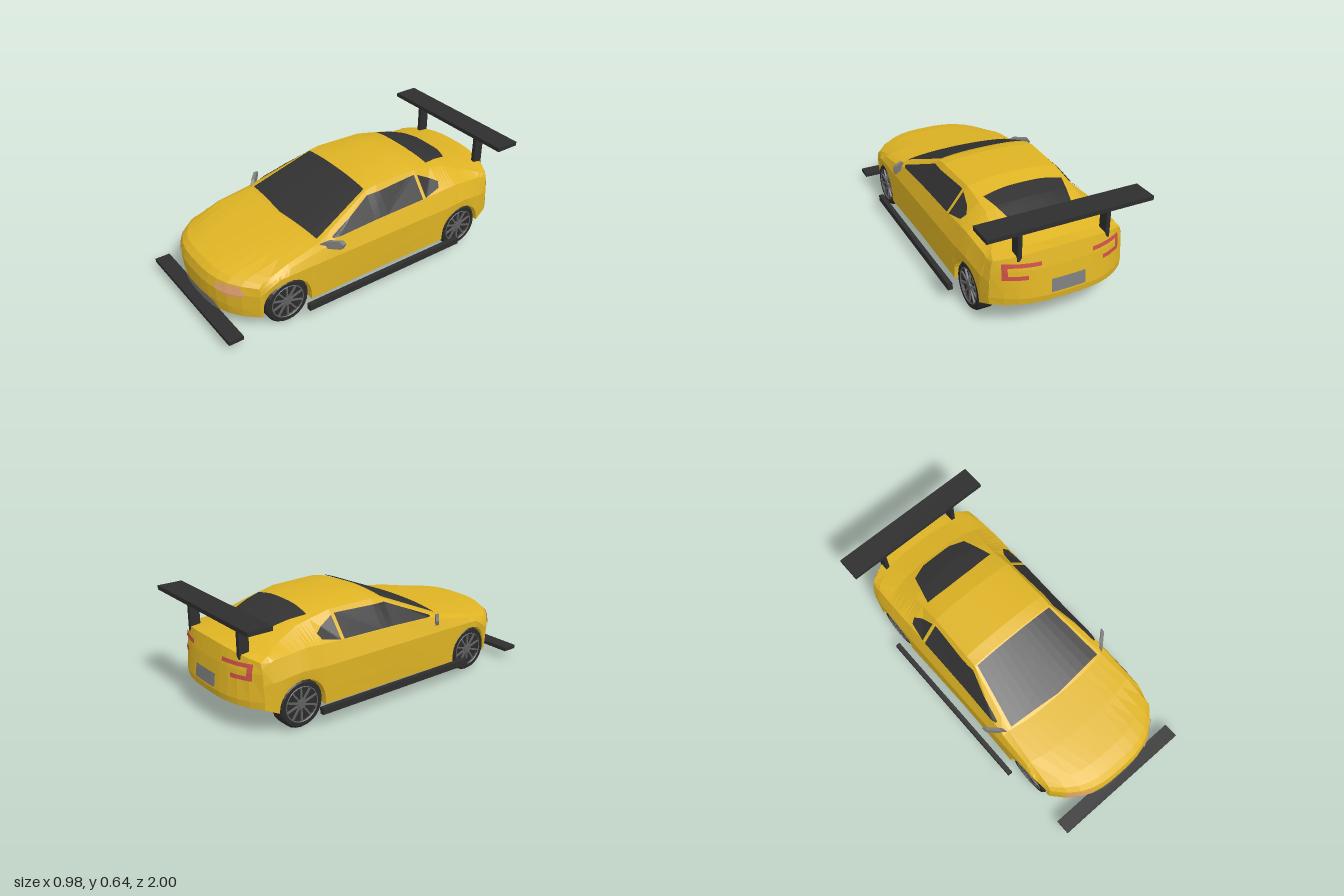
import * as THREE from 'three';

const mat = (name, color) => new THREE.MeshStandardMaterial({ name, color, flatShading: true, side: THREE.DoubleSide });

// Piecewise-linear lookup in rows of [key, ...values], keys descending
function lerpTable(table, key) {
  let i = 0;
  while (i < table.length - 2 && key < table[i + 1][0]) i++;
  const a = table[i], b = table[i + 1];
  const t = THREE.MathUtils.clamp((key - a[0]) / (b[0] - a[0]), 0, 1);
  return a.slice(1).map((v, k) => v + (b[k + 1] - v) * t);
}

// Surface through rows of points
function gridGeometry(rows, flip = false) {
  const n = rows[0].length, index = [];
  for (let i = 0; i < rows.length - 1; i++) {
    for (let j = 0; j < n - 1; j++) {
      const a = i * n + j, b = a + 1, c = a + n, d = c + 1;
      if (flip) index.push(a, c, b, b, c, d);
      else index.push(a, b, c, b, d, c);
    }
  }
  const g = new THREE.BufferGeometry();
  g.setAttribute('position', new THREE.Float32BufferAttribute(rows.flat(2), 3));
  g.setIndex(index);
  g.computeVertexNormals();
  return g;
}

// Centre skin, front to back: [centre y, centre z, half width, edge y, edge z]
const SKIN = [
  [0.09, 0.77, 0.385, 0.09, 0.77], [0.09, 0.935, 0.385, 0.09, 0.77],
  [0.16, 0.95, 0.392, 0.15, 0.77], [0.25, 0.955, 0.40, 0.24, 0.77],
  [0.31, 0.94, 0.395, 0.29, 0.77], [0.34, 0.905, 0.388, 0.31, 0.75],
  [0.358, 0.82, 0.385, 0.325, 0.70], [0.385, 0.62, 0.38, 0.365, 0.58],
  [0.412, 0.40, 0.36, 0.40, 0.37], [0.585, -0.01, 0.285, 0.565, -0.01],
  [0.60, -0.08, 0.285, 0.575, -0.08], [0.602, -0.37, 0.275, 0.572, -0.37],
  [0.555, -0.60, 0.27, 0.525, -0.58], [0.50, -0.74, 0.30, 0.47, -0.72],
  [0.467, -0.88, 0.36, 0.44, -0.82], [0.465, -0.95, 0.375, 0.42, -0.87],
  [0.37, -0.97, 0.39, 0.36, -0.87], [0.21, -0.99, 0.40, 0.21, -0.87],
  [0.175, -0.985, 0.395, 0.165, -0.87], [0.165, -0.87, 0.395, 0.165, -0.87],
];
// Side lines by z: [z, x, y]
const EDGE = SKIN.slice(4, 16).map(([, , w, y, z]) => [z, w, y]);
const BELT = [[0.77, 0.397, 0.27], [0.70, 0.40, 0.305], [0.58, 0.405, 0.35], [0.37, 0.40, 0.385],
  [0.28, 0.393, 0.412], [0, 0.388, 0.42], [-0.36, 0.388, 0.428], [-0.6, 0.39, 0.44],
  [-0.8, 0.385, 0.42], [-0.87, 0.385, 0.39]];
const SHOULDER = [[0.77, 0.40, 0.24], [0.65, 0.42, 0.315], [0.4, 0.425, 0.32], [-0.5, 0.425, 0.32],
  [-0.65, 0.425, 0.33], [-0.8, 0.415, 0.31], [-0.87, 0.395, 0.30]];
const SILL = [[0.77, 0.385, 0.09], [0.65, 0.42, 0.095], [0.5, 0.42, 0.095], [0, 0.412, 0.095],
  [-0.6, 0.42, 0.1], [-0.78, 0.415, 0.125], [-0.87, 0.395, 0.165]];
const AXLES = [0.605, -0.645], ARCH = 0.145, WHEEL_Y = 0.136;

// Half section of the side, wheel well and floor at one z
function sideSection(z, s) {
  const [ex, ey] = lerpTable(EDGE, z), [bx, by] = lerpTable(BELT, z);
  const [sx, sy] = lerpTable(SHOULDER, z), [lx, floor] = lerpTable(SILL, z);
  let low = floor;
  for (const c of AXLES) {
    const d = Math.abs(z - c);
    if (d <= ARCH + 1e-6) low = WHEEL_Y + Math.sqrt(Math.max(0, ARCH * ARCH - d * d));
  }
  return [[ex, ey], [bx, by], [sx, sy], [(sx + lx) / 2, low + 0.4 * (sy - low)], [lx, low],
    [0.29, low], [0.29, floor], [0, floor]].map(([x, y]) => [x * s, y, z]);
}

function buildBody(paint) {
  const body = new THREE.Group();
  body.name = 'body';
  const add = (name, geometry) => {
    const m = new THREE.Mesh(geometry, paint);
    m.name = name;
    body.add(m);
  };
  const cols = 12;
  add('noseBonnetRoofAndTail', gridGeometry(SKIN.map(([yc, zc, w, ye, ze]) =>
    Array.from({ length: cols + 1 }, (_, j) => {
      const u = (j / cols) * 2 - 1, a = Math.abs(u);
      return [u * w, yc + (ye - yc) * a ** 2.5, zc + (ze - zc) * a ** 3];
    }))));
  const zs = [...EDGE, ...BELT, ...SHOULDER, ...SILL].map((r) => r[0]);
  for (const c of AXLES) {
    zs.push(c + ARCH + 0.001, c - ARCH - 0.001);
    for (let k = 0; k <= 14; k++) zs.push(c + ARCH * Math.cos((k / 14) * Math.PI));
  }
  const stations = [...new Set(zs)].sort((a, b) => b - a);
  for (const s of [1, -1]) {
    add(s > 0 ? 'leftSide' : 'rightSide', gridGeometry(stations.map((z) => sideSection(z, s)), s < 0));
  }
  return body;
}

// Thin plate laid on the body between two outlines, seen along one axis
function makePlater(body) {
  body.updateMatrixWorld(true);
  const ray = new THREE.Raycaster();
  const place = {
    front: (a, b) => [[a, b, 3], [0, 0, -1]],
    back: (a, b) => [[a, b, -3], [0, 0, 1]],
    top: (a, b) => [[a, 3, b], [0, -1, 0]],
    left: (a, b) => [[3, b, a], [-1, 0, 0]],
    right: (a, b) => [[-3, b, a], [1, 0, 0]],
  };
  const along = (line, t) => {
    const k = Math.min(Math.floor(t * (line.length - 1)), line.length - 2);
    const f = t * (line.length - 1) - k;
    return [0, 1].map((c) => line[k][c] + (line[k + 1][c] - line[k][c]) * f);
  };
  return (name, material, view, upper, lower, nx = 12, ny = 6) => {
    const rows = [];
    let last = new THREE.Vector3();
    for (let i = 0; i <= ny; i++) {
      const row = [];
      for (let j = 0; j <= nx; j++) {
        const p = along(upper, j / nx), q = along(lower, j / nx), t = i / ny;
        const [o, d] = place[view](p[0] + (q[0] - p[0]) * t + 1e-5, p[1] + (q[1] - p[1]) * t + 1e-5);
        const dir = new THREE.Vector3(...d);
        ray.set(new THREE.Vector3(...o), dir);
        const hit = ray.intersectObject(body, true)[0];
        if (hit) last = hit.point.addScaledVector(dir, -0.007);
        row.push(last.toArray());
      }
      rows.push(row);
    }
    const flip = view === 'back' || view === 'left' ? 1 : 0;
    const mesh = new THREE.Mesh(gridGeometry(rows, !flip), material);
    mesh.name = name;
    return mesh;
  };
}

// Tyre, rim and spokes, outer face towards +x
function buildWheel(tyre, rim) {
  const wheel = new THREE.Group();
  wheel.name = 'wheel';
  const profile = [[0, -0.05], [0.125, -0.05], [0.136, -0.038], [0.136, 0.036], [0.125, 0.05],
    [0.104, 0.05], [0.098, 0.036], [0, 0.034]].map(([x, y]) => new THREE.Vector2(x, y));
  const add = (name, g, m) => {
    const mesh = new THREE.Mesh(g, m);
    mesh.name = name;
    wheel.add(mesh);
  };
  add('tyre', new THREE.LatheGeometry(profile, 24).rotateZ(-Math.PI / 2), tyre);
  add('rimEdge', new THREE.TorusGeometry(0.1, 0.004, 4, 24).rotateY(Math.PI / 2).translate(0.048, 0, 0), rim);
  add('hub', new THREE.CylinderGeometry(0.024, 0.026, 0.014, 10).rotateZ(-Math.PI / 2).translate(0.042, 0, 0), rim);
  for (let k = 0; k < 10; k++) {
    add('spoke', new THREE.BoxGeometry(0.01, 0.084, 0.009).translate(0.04, 0.058, 0).rotateX((k / 10) * Math.PI * 2), rim);
  }
  return wheel;
}

export function createModel() {
  const car = new THREE.Group();
  car.name = 'sportsCar';
  const paint = mat('yellowPaint', 0xdfb424), trim = mat('blackTrim', 0x2e2e2e);
  const glass = mat('darkGlass', 0x323232), tyre = mat('tyreRubber', 0x2a2a2a);
  const rim = mat('rimMetal', 0x606060), grey = mat('greyPlastic', 0x7c7c7c);
  const lamp = mat('headlightAmber', 0xdfa06c), red = mat('tailLightRed', 0xcc4f48);

  const body = buildBody(paint);
  car.add(body);
  const plate = makePlater(body);

  // Glass and front and rear details
  car.add(
    plate('windscreen', glass, 'top', [[-0.272, 0], [0, 0], [0.272, 0]], [[-0.335, 0.365], [0, 0.393], [0.335, 0.365]], 12, 8),
    plate('rearWindow', glass, 'top', [[-0.19, -0.68], [-0.1, -0.715], [0.1, -0.715], [0.19, -0.68]],
      [[-0.24, -0.49], [-0.1, -0.48], [0.1, -0.48], [0.24, -0.49]], 12, 8),
    plate('lowerGrille', grey, 'front', [[-0.175, 0.145], [-0.135, 0.16], [0.135, 0.16], [0.175, 0.145]],
      [[-0.2, 0.093], [-0.14, 0.093], [0.14, 0.093], [0.2, 0.093]]),
    plate('numberPlate', grey, 'back', [[-0.1, 0.3], [0.1, 0.3]], [[-0.1, 0.225], [0.1, 0.225]]),
  );
  for (const s of [1, -1]) {
    const view = s > 0 ? 'left' : 'right';
    const flip = (pts) => pts.map(([x, y]) => [x * s, y]);
    car.add(
      plate('doorWindow', glass, view, [[0.29, 0.422], [0, 0.545], [-0.35, 0.553]], [[0.29, 0.416], [0, 0.425], [-0.35, 0.432]], 16, 6),
      plate('quarterWindow', glass, view, [[-0.372, 0.547], [-0.5, 0.482]], [[-0.372, 0.433], [-0.485, 0.455]]),
      plate('headlight', lamp, 'front', flip([[0.194, 0.29], [0.26, 0.296], [0.32, 0.3], [0.352, 0.25]]),
        flip([[0.197, 0.258], [0.24, 0.24], [0.28, 0.224], [0.343, 0.235]])),
      plate('tailLightTop', red, 'back', flip([[0.15, 0.41], [0.345, 0.41]]), flip([[0.15, 0.388], [0.345, 0.388]])),
      plate('tailLightOuter', red, 'back', flip([[0.318, 0.388], [0.345, 0.388]]), flip([[0.318, 0.343], [0.345, 0.343]])),
      plate('tailLightBottom', red, 'back', flip([[0.22, 0.343], [0.345, 0.343]]), flip([[0.22, 0.32], [0.345, 0.32]])),
    );

    // Door mirror, swept back towards its tip
    const outline = new THREE.Shape(flip([[0.37, 0.4], [0.395, 0.422], [0.455, 0.43], [0.466, 0.41], [0.455, 0.38], [0.385, 0.375]])
      .map(([x, y]) => new THREE.Vector2(x, y)));
    const g = new THREE.ExtrudeGeometry(outline, { depth: 0.026, bevelEnabled: false });
    const pos = g.attributes.position;
    for (let i = 0; i < pos.count; i++) pos.setZ(i, pos.getZ(i) + 0.3 - (Math.abs(pos.getX(i)) - 0.42) * 0.9);
    g.computeVertexNormals();
    const mirror = new THREE.Mesh(g, grey);
    mirror.name = 'doorMirror';
    car.add(mirror);

    for (const z of AXLES) {
      const wheel = buildWheel(tyre, rim);
      wheel.position.set(s * 0.357, WHEEL_Y, z);
      if (s < 0) wheel.rotation.y = Math.PI;
      car.add(wheel);
    }
  }

  // Black aero parts: name, x range, y range, z range
  const box = (name, [x0, x1], [y0, y1], [z0, z1]) => {
    const m = new THREE.Mesh(new THREE.BoxGeometry(x1 - x0, y1 - y0, z1 - z0), trim);
    m.name = name;
    m.position.set((x0 + x1) / 2, (y0 + y1) / 2, (z0 + z1) / 2);
    car.add(m);
  };
  box('rearWing', [-0.475, 0.475], [0.621, 0.645], [-1, -0.853]);
  box('frontSplitter', [-0.447, 0.447], [0.054, 0.077], [0.91, 1]);
  for (const s of [1, -1]) {
    const c = s * 0.257, k = s * 0.4765;
    box('wingPost', [c - 0.012, c + 0.012], [0.42, 0.622], [-0.93, -0.87]);
    box('sideSkirt', [k - 0.014, k + 0.014], [0.083, 0.121], [-0.57, 0.517]);
  }
  return car;
}
